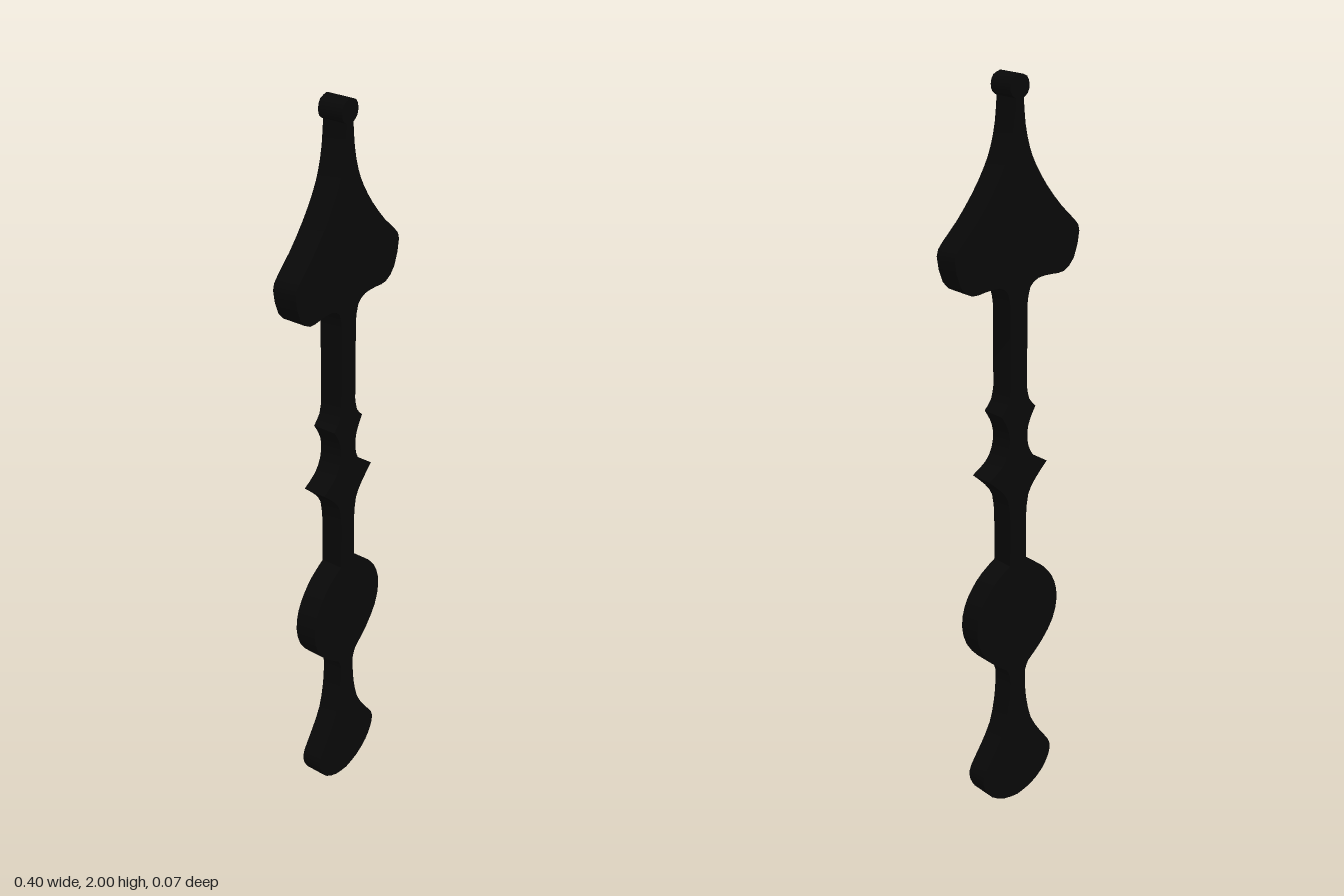
import * as THREE from 'three';
import { toCreasedNormals } from 'three/addons/utils/BufferGeometryUtils.js';

// Right-hand outline from foot to tip, as [x, y] curves meeting at sharp corners.
const outline = [
  // rounded foot and its neck
  [[0, 0], [0.05, 0.01], [0.095, 0.038], [0.118, 0.07], [0.127, 0.1], [0.12, 0.13],
    [0.085, 0.18], [0.05, 0.24], [0.033, 0.31], [0.028, 0.36], [0.028, 0.405], [0.04, 0.43]],
  // disc
  [[0.04, 0.43], [0.09, 0.472], [0.13, 0.525], [0.145, 0.585], [0.135, 0.64], [0.11, 0.682], [0.075, 0.717], [0.028, 0.745]],
  // lower stem
  [[0.028, 0.745], [0.028, 0.88]],
  // large spur
  [[0.028, 0.88], [0.035, 0.935], [0.06, 0.972], [0.1, 1.01]],
  // hollow between the spurs
  [[0.1, 1.01], [0.057, 1.035], [0.035, 1.07], [0.03, 1.11], [0.04, 1.145], [0.058, 1.175]],
  // small spur
  [[0.058, 1.175], [0.036, 1.2], [0.028, 1.235]],
  // upper stem
  [[0.028, 1.235], [0.028, 1.45]],
  // broad spade head, tapering to the neck
  [[0.028, 1.45], [0.037, 1.49], [0.065, 1.508], [0.11, 1.508], [0.15, 1.507], [0.185, 1.535], [0.202, 1.6],
    [0.185, 1.63], [0.14, 1.672], [0.09, 1.73], [0.053, 1.785], [0.032, 1.83], [0.018, 1.885], [0.012, 1.945]],
  // knob at the tip
  [[0.012, 1.945], [0.025, 1.954], [0.03, 1.972], [0.022, 1.992], [0, 2]],
];

// Smooth each curve, leaving straight runs as they are.
function halfProfile() {
  const points = [];
  for (const part of outline) {
    const pts = part.map(([x, y]) => new THREE.Vector2(x, y));
    const run = pts.length > 2 ? new THREE.SplineCurve(pts).getPoints((pts.length - 1) * 2) : pts;
    points.push(...run.slice(0, -1));
  }
  points.push(new THREE.Vector2(0, 2));
  return points;
}

export function createModel() {
  const right = halfProfile();
  const left = right.slice(1, -1).reverse().map((p) => new THREE.Vector2(-p.x, p.y));

  // Mirrored plate, slightly thinner towards the foot
  const plate = new THREE.ExtrudeGeometry(new THREE.Shape([...right, ...left]), {
    depth: 2, bevelEnabled: false,
  });
  plate.translate(0, 0, -1);
  const pos = plate.attributes.position;
  for (let i = 0; i < pos.count; i++) {
    pos.setZ(i, pos.getZ(i) * (0.029 + 0.002 * pos.getY(i)));
  }

  const hand = new THREE.Mesh(
    toCreasedNormals(plate, 0.6),
    new THREE.MeshStandardMaterial({ color: 0x080808 }),
  );
  hand.name = 'ornamentalHand';

  const model = new THREE.Group();
  model.name = 'clockHand';
  model.add(hand);
  return model;
}
